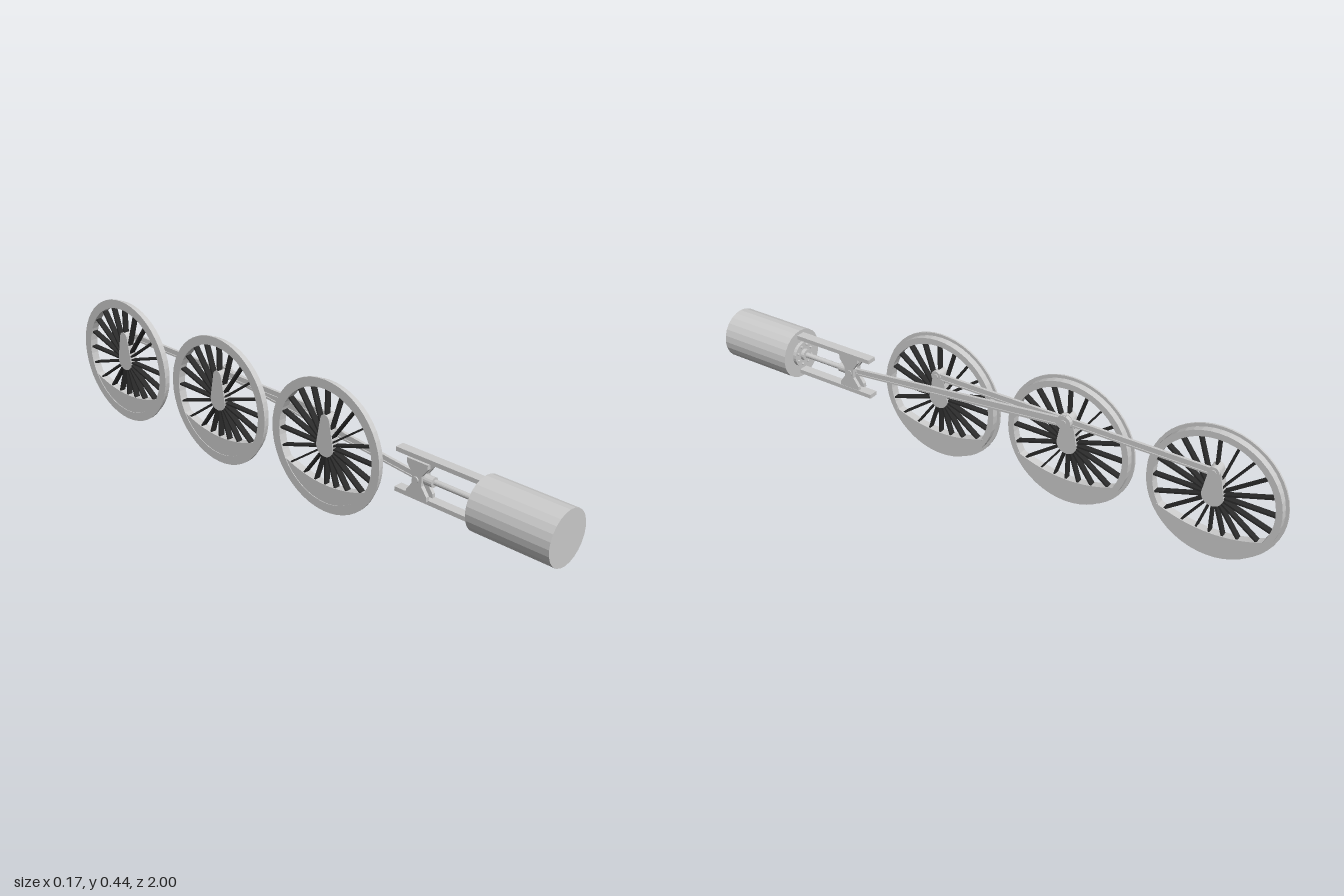
import * as THREE from 'three';

const grey = new THREE.MeshStandardMaterial({ color: 0xcccccc, flatShading: true });
const dark = new THREE.MeshStandardMaterial({ color: 0x2a2a2a, flatShading: true });
const AXLE_Y = 0.22, PIN_Y = 0.307, WHEELS_Z = [0.175, -0.3, -0.78];

function add(parent, name, geometry, material = grey) {
  const mesh = new THREE.Mesh(geometry, material);
  mesh.name = name;
  parent.add(mesh);
  return mesh;
}

// Flat plate: outline given in (z, y), filling x0..x1
function plate(shape, x0, x1) {
  const g = new THREE.ExtrudeGeometry(shape, { depth: x1 - x0, bevelEnabled: false, curveSegments: 24 });
  return g.rotateY(-Math.PI / 2).translate(x1, 0, 0);
}

function box(x0, x1, y0, y1, z0, z1) {
  return new THREE.BoxGeometry(x1 - x0, y1 - y0, z1 - z0)
    .translate((x0 + x1) / 2, (y0 + y1) / 2, (z0 + z1) / 2);
}

function ring(r, hole) {
  const s = new THREE.Shape().absarc(0, 0, r, 0, Math.PI * 2);
  s.holes.push(new THREE.Path().absarc(0, 0, hole, 0, Math.PI * 2, true));
  return s;
}

// Pin or boss along x
function pin(r, x0, x1, y, z, sides = 16) {
  return new THREE.CylinderGeometry(r, r, x1 - x0, sides).rotateZ(Math.PI / 2).translate((x0 + x1) / 2, y, z);
}

// Round bar along z
function bar(r, z0, z1, x, y, sides = 16) {
  return new THREE.CylinderGeometry(r, r, z1 - z0, sides).rotateX(Math.PI / 2).translate(x, y, (z0 + z1) / 2);
}

function makeWheel() {
  const wheel = new THREE.Group();
  wheel.name = 'drivingWheel';
  add(wheel, 'flange', plate(ring(0.22, 0.19), -0.052, -0.046));
  add(wheel, 'tyre', plate(ring(0.21, 0.19), -0.046, -0.024));

  // Teardrop hub joining axle and crank pin
  const throwY = PIN_Y - AXLE_Y;
  const hub = new THREE.Shape();
  hub.absarc(0, 0, 0.034, Math.PI - 0.15, Math.PI * 2 + 0.15, false);
  hub.absarc(0, throwY, 0.018, 0.15, Math.PI - 0.15, false);
  hub.closePath();
  add(wheel, 'crankHub', plate(hub, -0.05, -0.022));

  // Crescent balance weight
  const a = 0.5;
  const weight = new THREE.Shape();
  weight.absarc(0, 0, 0.195, -Math.PI + a, -a, false);
  weight.quadraticCurveTo(0, -0.165, -0.195 * Math.cos(a), -0.195 * Math.sin(a));
  add(wheel, 'balanceWeight', plate(weight, -0.05, -0.023));

  // Thin, deep spokes
  for (let i = 0; i < 20; i++) {
    const g = new THREE.BoxGeometry(0.02, 0.17, 0.006).translate(-0.037, 0.108, 0);
    add(wheel, 'spoke', g.rotateX((i / 20) * Math.PI * 2), dark);
  }
  return wheel;
}

// Fluted rod between two points in (z, y), with tapering half height
function makeRod(name, z0, y0, h0, z1, y1, h1, x0, x1) {
  const rod = new THREE.Group();
  rod.name = name;
  const strip = (a0, b0, a1, b1) => {
    const s = new THREE.Shape();
    s.moveTo(z0, y0 + a0).lineTo(z1, y1 + a1).lineTo(z1, y1 + b1).lineTo(z0, y0 + b0).closePath();
    return s;
  };
  add(rod, 'web', plate(strip(-h0, h0, -h1, h1), x0 + 0.003, x1 - 0.003));
  for (const s of [-1, 1]) {
    add(rod, 'rodEdge', plate(strip(s * h0, s * h0 * 0.55, s * h1, s * h1 * 0.55), x0, x1));
  }
  return rod;
}

export function createModel() {
  const model = new THREE.Group();
  model.name = 'drivingGear';

  for (const z of WHEELS_Z) {
    const wheel = makeWheel();
    wheel.position.set(0, AXLE_Y, z);
    model.add(wheel);
  }

  // Coupling rod and crank pins
  const [front, middle, rear] = WHEELS_Z;
  model.add(makeRod('couplingRod', front, PIN_Y, 0.012, rear, PIN_Y, 0.012, -0.021, -0.012));
  for (const z of [front, rear]) {
    add(model, 'couplingRodEnd', pin(0.018, -0.022, -0.011, PIN_Y, z));
    add(model, 'crankPin', pin(0.009, -0.03, -0.008, PIN_Y, z));
  }
  add(model, 'couplingRodBoss', pin(0.025, -0.022, -0.013, PIN_Y, middle));
  add(model, 'mainCrankPin', pin(0.011, -0.03, 0.004, PIN_Y, middle));

  // Connecting rod, from crosshead to middle crank pin
  model.add(makeRod('connectingRod', 0.5, 0.224, 0.011, middle, PIN_Y, 0.015, -0.01, 0));
  add(model, 'bigEnd', pin(0.025, -0.012, 0.002, PIN_Y, middle));
  add(model, 'oilCup', box(-0.009, -0.001, PIN_Y + 0.02, 0.334, middle - 0.007, middle + 0.007));
  add(model, 'smallEnd', pin(0.017, -0.012, 0.002, 0.224, 0.51));

  // Waisted crosshead between slide bars
  const cross = new THREE.Shape();
  cross.moveTo(0.475, 0.165).lineTo(0.55, 0.165).lineTo(0.55, 0.18).lineTo(0.53, 0.208)
    .lineTo(0.53, 0.24).lineTo(0.55, 0.268).lineTo(0.55, 0.283).lineTo(0.475, 0.283)
    .lineTo(0.475, 0.268).lineTo(0.495, 0.24).lineTo(0.495, 0.208).lineTo(0.475, 0.18).closePath();
  add(model, 'crossheadOuter', plate(cross, 0.003, 0.014));
  add(model, 'crossheadInner', plate(cross, -0.026, -0.013));
  add(model, 'crossheadPin', pin(0.01, -0.03, 0.016, 0.224, 0.51));
  add(model, 'crossheadSocket', bar(0.016, 0.525, 0.56, -0.003, 0.224));
  for (const y of [0.16, 0.29]) {
    add(model, 'slideBar', box(-0.017, 0.015, y - 0.007, y + 0.007, 0.425, 0.735));
  }

  // Cylinder, end cover and piston rod
  add(model, 'cylinder', bar(0.086, 0.73, 1, 0, 0.224, 24));
  add(model, 'cylinderCover', bar(0.044, 0.718, 0.735, 0, 0.224, 24));
  add(model, 'packingGland', bar(0.02, 0.705, 0.72, 0, 0.224));
  add(model, 'pistonRod', bar(0.009, 0.55, 0.72, 0, 0.224));
  for (let i = 0; i < 8; i++) {
    const a = ((i + 0.5) / 8) * Math.PI * 2;
    add(model, 'coverBolt', bar(0.005, 0.71, 0.72, 0.034 * Math.cos(a), 0.224 + 0.034 * Math.sin(a), 6));
  }
  return model;
}
